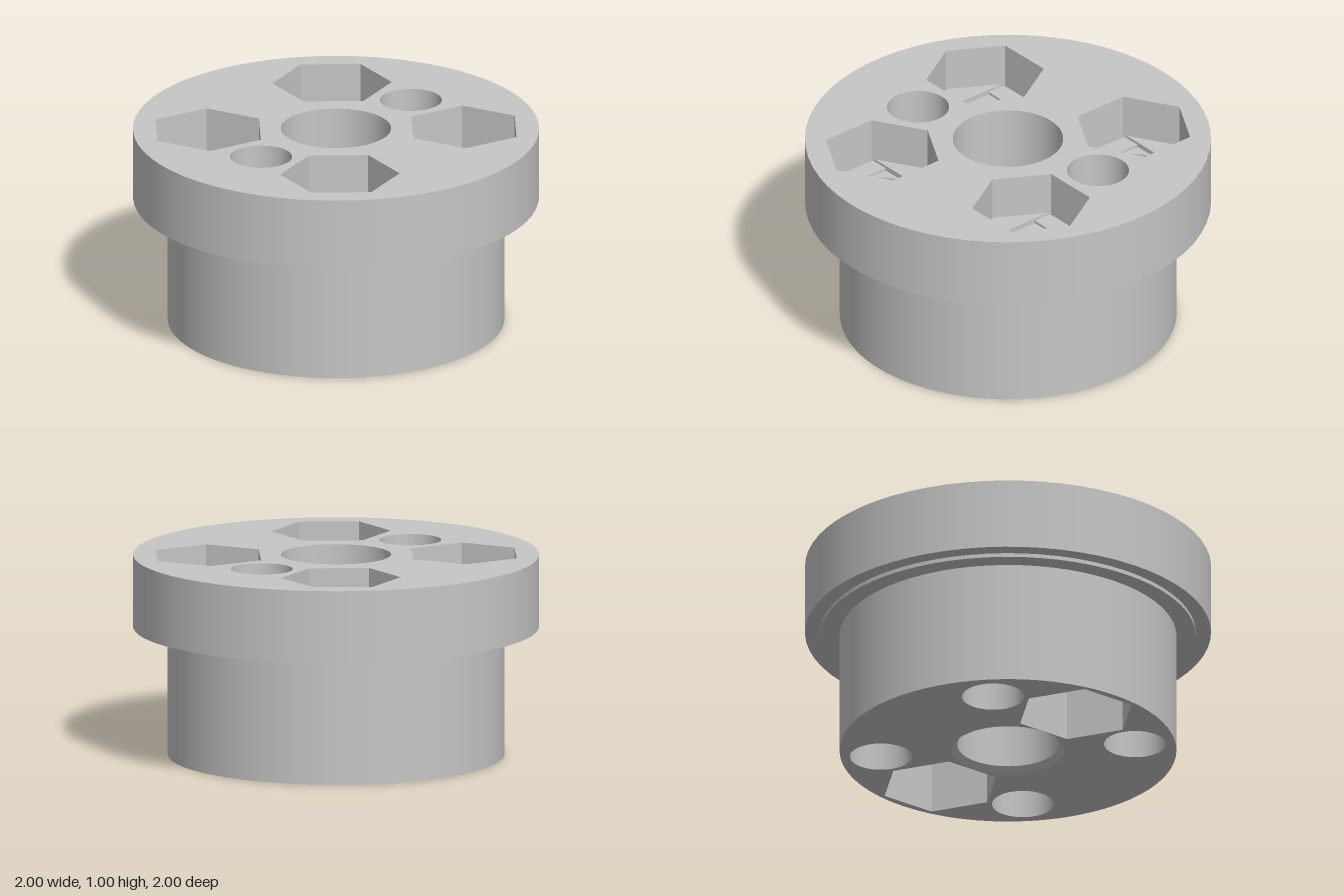
import * as THREE from 'three';

const RAD = Math.PI / 180;
const HEX_FLAT = 0.255;                  // half width across flats
const HEX_R = HEX_FLAT / Math.cos(30 * RAD);
const BOLT_R = 0.153;                    // bolt hole radius
const HALF = 0.156;                      // half width of the bridging slot and square
const STEP = 0.013;                      // height of one bridging step
const SEG = 64;

const grey = new THREE.MeshStandardMaterial({ color: 0xc6c6c6 });
grey.name = 'light grey';

// Points of a regular polygon in the x,z plane
function ring(r, n, start = 0, cx = 0, cz = 0) {
  return Array.from({ length: n }, (_, i) => {
    const a = start + (i / n) * Math.PI * 2;
    return new THREE.Vector2(cx + r * Math.cos(a), cz + r * Math.sin(a));
  });
}

function add(parent, geometry, name) {
  const mesh = new THREE.Mesh(geometry, grey);
  mesh.name = name;
  parent.add(mesh);
  return mesh;
}

// Flat horizontal face with holes, facing up or down
function cap(outline, holes, y, up) {
  const shape = new THREE.Shape(outline);
  holes.forEach(h => shape.holes.push(new THREE.Path(h)));
  const g = new THREE.ShapeGeometry(shape);
  g.rotateX(Math.PI / 2);
  g.translate(0, y, 0);
  if (up) {
    const ix = g.index.array;
    for (let i = 0; i < ix.length; i += 3) [ix[i], ix[i + 1]] = [ix[i + 1], ix[i]];
    g.computeVertexNormals();
  }
  return g;
}

// Flat-sided pocket wall, facing inward
function pocketWall(points, ya, yb) {
  const y0 = Math.min(ya, yb), y1 = Math.max(ya, yb), pos = [];
  points.forEach((p, i) => {
    const q = points[(i + 1) % points.length];
    pos.push(p.x, y0, p.y, q.x, y0, q.y, q.x, y1, q.y);
    pos.push(p.x, y0, p.y, q.x, y1, q.y, p.x, y1, p.y);
  });
  const g = new THREE.BufferGeometry();
  g.setAttribute('position', new THREE.Float32BufferAttribute(pos, 3));
  g.computeVertexNormals();
  return g;
}

// Turned surface with a sharp edge at each profile point (rising = outward, falling = inward)
function turned(parent, profile, name) {
  const group = new THREE.Group();
  group.name = name;
  for (let i = 0; i + 1 < profile.length; i++) {
    const pts = [profile[i], profile[i + 1]].map(p => new THREE.Vector2(p[0], p[1]));
    add(group, new THREE.LatheGeometry(pts, SEG), name + 'Face');
  }
  parent.add(group);
  return group;
}

// Hexagonal nut pocket, its stepped bridging floor and the round bolt hole beyond it
function nutPocket(parent, angle, dist, yOpen, yFloor, yEnd, name) {
  const group = new THREE.Group();
  group.name = name;
  const cx = dist * Math.cos(angle), cz = dist * Math.sin(angle);
  const turn = angle + 60 * RAD, c = Math.cos(turn), s = Math.sin(turn);
  const place = list => list.map(([u, v]) => new THREE.Vector2(cx + u * c - v * s, cz + u * s + v * c));
  const up = yOpen > yFloor, d = up ? -STEP : STEP;
  const hex = ring(HEX_R, 6, turn + 30 * RAD, cx, cz);
  const side = HEX_R / 2, e = (HEX_R - HALF) * Math.sqrt(3);

  add(group, pocketWall(hex, yOpen, yFloor), 'hexWall');
  for (const k of [1, -1]) {
    add(group, cap(place([[-e, k * HALF], [e, k * HALF], [0, k * HEX_R]]), [], yFloor, up), 'hexFloor');
    const end = [[HALF, -HALF], [e, -HALF], [HEX_FLAT, -side], [HEX_FLAT, side], [e, HALF], [HALF, HALF]];
    add(group, cap(place(end.map(([u, v]) => [k * u, v])), [], yFloor + d, up), 'slotFloor');
  }
  const slot = place([[HEX_FLAT, -side], [HEX_FLAT, side], [e, HALF], [-e, HALF],
    [-HEX_FLAT, side], [-HEX_FLAT, -side], [-e, -HALF], [e, -HALF]]);
  const square = place([[HALF, -HALF], [HALF, HALF], [-HALF, HALF], [-HALF, -HALF]]);
  add(group, pocketWall(slot, yFloor, yFloor + d), 'slotWall');
  add(group, pocketWall(square, yFloor + d, yFloor + 2 * d), 'squareWall');
  add(group, cap(square, [ring(BOLT_R, SEG, 0, cx, cz)], yFloor + 2 * d, up), 'squareFloor');

  const yHole = yFloor + 2 * d;
  const hole = turned(group, [[BOLT_R, Math.max(yHole, yEnd)], [BOLT_R, Math.min(yHole, yEnd)]], 'boltHole');
  hole.position.set(cx, 0, cz);
  parent.add(group);
  return { hex, round: ring(BOLT_R, SEG, 0, cx, cz) };
}

export function createModel() {
  const model = new THREE.Group();
  model.name = 'flangedHub';

  // Outer body: barrel, thin step and flange
  turned(model, [[0.83, 0], [0.83, 0.62], [0.925, 0.62], [0.925, 0.64], [1, 0.64], [1, 1]], 'outerBody');

  // Central bore: upper seat, narrow web and chamfered lower seat
  turned(model, [[0.272, 1], [0.272, 0.6], [0.143, 0.6], [0.143, 0.4], [0.25, 0.4], [0.25, 0.03], [0.28, 0]],
    'centralBore');

  // Four pockets open at the top, two at the bottom
  const upper = [0, 90, 180, 270].map(a => nutPocket(model, a * RAD, 0.63, 1, 0.78, 0, 'upperNutPocket'));
  const lower = [-45, 135].map(a => nutPocket(model, a * RAD, 0.538, 0, 0.35, 1, 'lowerNutPocket'));

  // Top and bottom faces
  add(model, cap(ring(1, SEG),
    [ring(0.272, SEG), ...upper.map(p => p.hex), ...lower.map(p => p.round)], 1, true), 'topFace');
  add(model, cap(ring(0.83, SEG),
    [ring(0.28, SEG), ...upper.map(p => p.round), ...lower.map(p => p.hex)], 0, false), 'bottomFace');

  return model;
}
